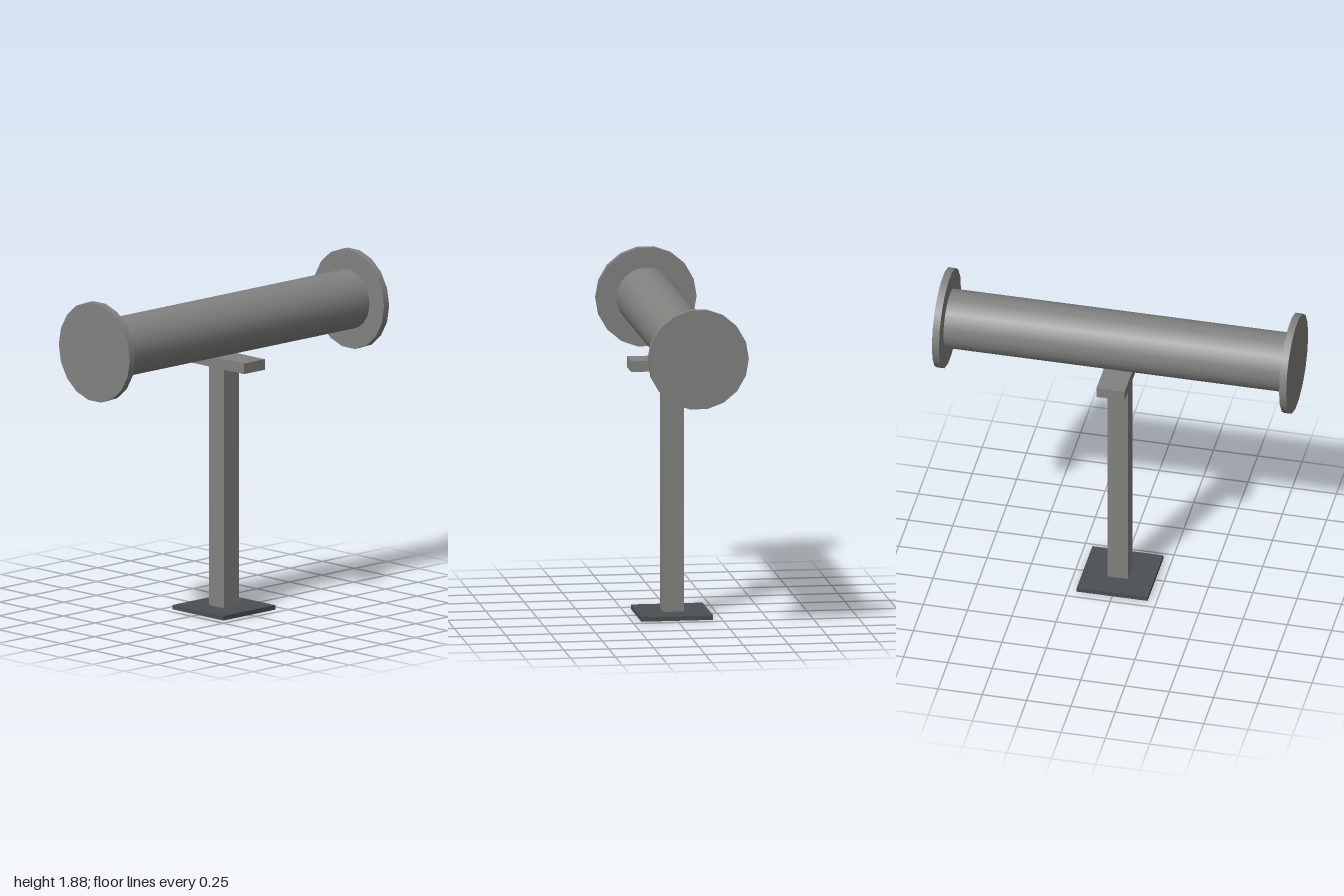
import * as THREE from 'three';

const steel = new THREE.MeshStandardMaterial({ color: 0x82827f });
steel.name = 'steel grey';
const darkSteel = new THREE.MeshStandardMaterial({ color: 0x4a5052 });
darkSteel.name = 'dark steel';

const AXIS_Y = 1.605; // height of the pipe axis

export function createModel() {
  const model = new THREE.Group();
  model.name = 'pipeOnStand';

  const add = (name, geometry, material, y, z = 0) => {
    const mesh = new THREE.Mesh(geometry, material);
    mesh.name = name;
    mesh.position.set(0, y, z);
    model.add(mesh);
  };

  // cylinder lying along z, with a corner on the x axis
  const drum = (radius, length, sides) =>
    new THREE.CylinderGeometry(radius, radius, length, sides, 1, false, Math.PI / 2).rotateX(Math.PI / 2);

  // stand: base plate, square post and cross bracket
  add('basePlate', new THREE.BoxGeometry(0.4, 0.025, 0.4), darkSteel, 0.0125);
  add('post', new THREE.BoxGeometry(0.115, 1.355, 0.115), steel, 0.7025);
  add('bracket', new THREE.BoxGeometry(0.48, 0.06, 0.16), steel, 1.408);

  // pipe with a round flange at each end
  add('pipe', drum(0.166, 1.92, 24), steel, AXIS_Y);
  add('frontFlange', drum(0.28, 0.04, 18), steel, AXIS_Y, 0.98);
  add('backFlange', drum(0.28, 0.04, 18), steel, AXIS_Y, -0.98);

  return model;
}
